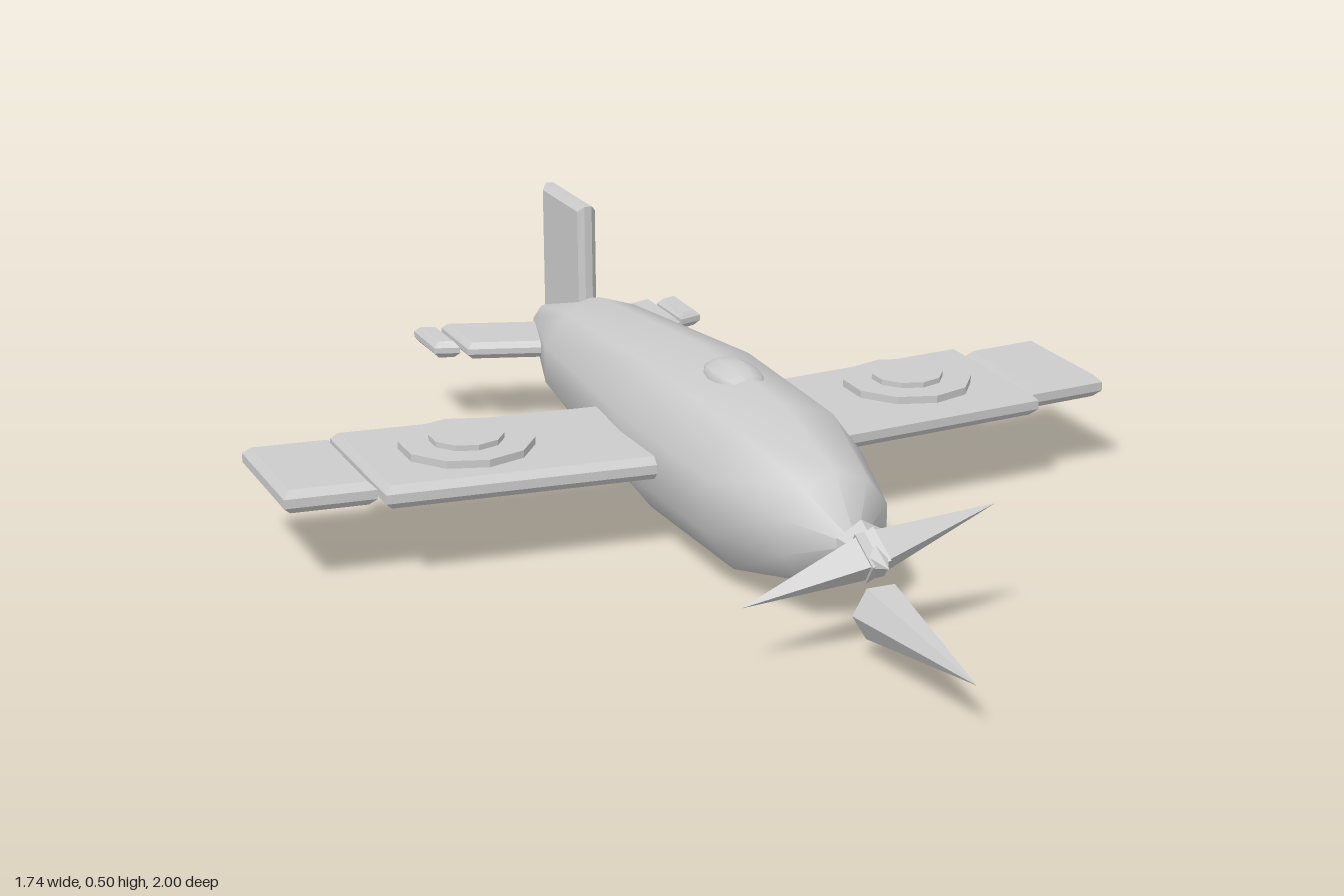
import * as THREE from 'three';

const AXIS_Y = 0.185;

export function createModel() {
  const model = new THREE.Group();
  const smooth = new THREE.MeshStandardMaterial({ color: 0xcccccc });
  const flat = new THREE.MeshStandardMaterial({ color: 0xcccccc, flatShading: true });

  const add = (name, geometry, material, x = 0, y = 0, z = 0) => {
    const mesh = new THREE.Mesh(geometry, material);
    mesh.name = name;
    mesh.position.set(x, y, z);
    model.add(mesh);
    return mesh;
  };

  // Chamfered slab with the given outline, centred on its thickness
  const slab = (points, thickness, bevel) => {
    const shape = new THREE.Shape(points.map(([a, b]) => new THREE.Vector2(a, b)));
    const depth = thickness - 2 * bevel;
    return new THREE.ExtrudeGeometry(shape, {
      depth, bevelEnabled: true, bevelThickness: bevel, bevelSize: bevel,
      bevelOffset: -bevel, bevelSegments: 1,
    }).translate(0, 0, -depth / 2);
  };

  // Fuselage: ten-sided, smooth, turned around z
  const profile = [[0, -0.99], [0.05, -0.96], [0.132, -0.68], [0.18, -0.15],
    [0.172, 0.24], [0.11, 0.46], [0, 0.55]].map(([r, z]) => new THREE.Vector2(r, z));
  add('fuselage', new THREE.LatheGeometry(profile, 10).rotateX(Math.PI / 2), smooth, 0, AXIS_Y, 0);

  // Canopy bump
  add('canopy', new THREE.SphereGeometry(1, 10, 8).rotateX(Math.PI / 2).scale(0.055, 0.034, 0.09),
    smooth, 0, 0.34, 0.012);

  // Wings, wing tips, roundels and tailplanes, mirrored
  for (const [side, s] of [['left', 1], ['right', -1]]) {
    const panel = (name, points, thickness, bevel) =>
      add(side + name, slab(points.map(([x, z]) => [x * s, z]), thickness, bevel).rotateX(Math.PI / 2),
        flat, 0, AXIS_Y, 0);
    panel('Wing', [[0.08, 0.04], [0.69, -0.015], [0.69, -0.372], [0.08, -0.312]], 0.046, 0.014);
    panel('WingTip', [[0.695, -0.052], [0.87, -0.068], [0.87, -0.357], [0.695, -0.34]], 0.046, 0.014);
    panel('Tailplane', [[0.02, -0.75], [0.247, -0.825], [0.247, -1.0], [0.02, -0.925]], 0.036, 0.012);
    panel('TailplaneTip', [[0.258, -0.845], [0.31, -0.862], [0.31, -1.0], [0.258, -0.985]], 0.036, 0.012);

    add(side + 'WingDisc', new THREE.CylinderGeometry(0.132, 0.132, 0.02, 10), flat, 0.475 * s, 0.213, -0.18);
    add(side + 'WingDiscCentre', new THREE.CylinderGeometry(0.073, 0.073, 0.02, 10), flat,
      0.475 * s, 0.224, -0.18);
  }

  // Upright tail fin
  add('tailFin', slab([[-0.97, 0.2], [-0.74, 0.2], [-0.74, 0.5], [-0.97, 0.5]], 0.04, 0.012)
    .rotateY(-Math.PI / 2), flat);

  // Propeller: two four-sided blades, tilted, on a short spinner
  const propeller = new THREE.Group();
  propeller.name = 'propeller';
  propeller.position.set(0, AXIS_Y, 0.6);
  propeller.rotation.z = 0.237;
  for (const s of [1, -1]) {
    const blade = new THREE.Mesh(new THREE.ConeGeometry(0.05, 0.275, 4).rotateZ(-s * Math.PI / 2), flat);
    blade.name = 'propellerBlade';
    blade.position.x = s * 0.119;
    propeller.add(blade);
  }
  model.add(propeller);
  add('spinner', new THREE.ConeGeometry(0.055, 0.11, 6).rotateX(Math.PI / 2), flat, 0, AXIS_Y, 0.62);

  // Pointed cone ahead of the nose
  add('noseCone', new THREE.ConeGeometry(0.055, 0.355, 6).rotateY(Math.PI / 6).rotateX(Math.PI / 2),
    flat, 0, 0.095, 0.8225);

  return model;
}
